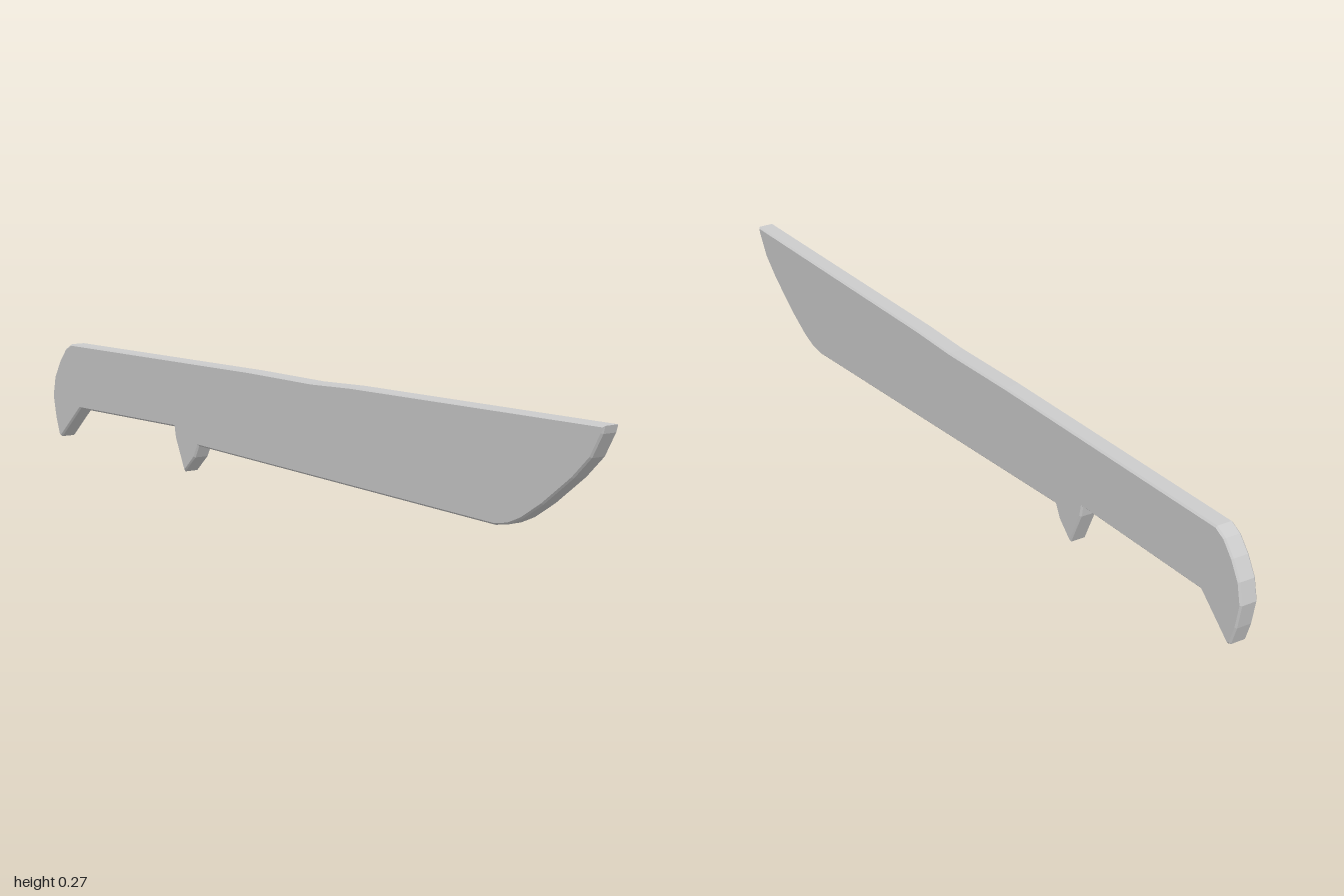
import * as THREE from 'three';

const THICKNESS = 0.044;
const BEVEL = 0.004;

export function createModel() {
  const group = new THREE.Group();
  group.name = 'knife';

  // Side outline as (z, y), tip first, along the edge to the handle and back over the spine
  const tip = [[1, 0.272], [0.995, 0.255], [0.965, 0.203], [0.915, 0.155], [0.83, 0.09], [0.77, 0.052], [0.73, 0.035], [0.69, 0.028]];
  const guard = [[-0.355, 0.07], [-0.37, 0.04], [-0.413, 0], [-0.45, 0.08], [-0.455, 0.107]];
  const pommel = [[-0.872, 0.107], [-0.962, 0.024], [-0.972, 0.027], [-0.988, 0.072], [-1, 0.13], [-0.99, 0.18], [-0.966, 0.223], [-0.938, 0.257], [-0.91, 0.272]];
  const spine = [[-0.15, 0.272], [0.08, 0.268], [0.22, 0.272]];
  const outline = [...tip, ...guard, ...pommel, ...spine].map(([z, y]) => new THREE.Vector2(z, y));

  // Flat slab with a fine chamfer that stays within the outline
  const geometry = new THREE.ExtrudeGeometry(new THREE.Shape(outline), {
    depth: THICKNESS - 2 * BEVEL,
    bevelEnabled: true,
    bevelSize: BEVEL,
    bevelThickness: BEVEL,
    bevelOffset: -BEVEL,
    bevelSegments: 1,
  });
  geometry.translate(0, 0, BEVEL - THICKNESS / 2);
  geometry.rotateY(-Math.PI / 2);

  const body = new THREE.Mesh(geometry, new THREE.MeshStandardMaterial({ color: 0xcccccc, flatShading: true }));
  body.name = 'bladeAndHandle';
  group.add(body);
  return group;
}
